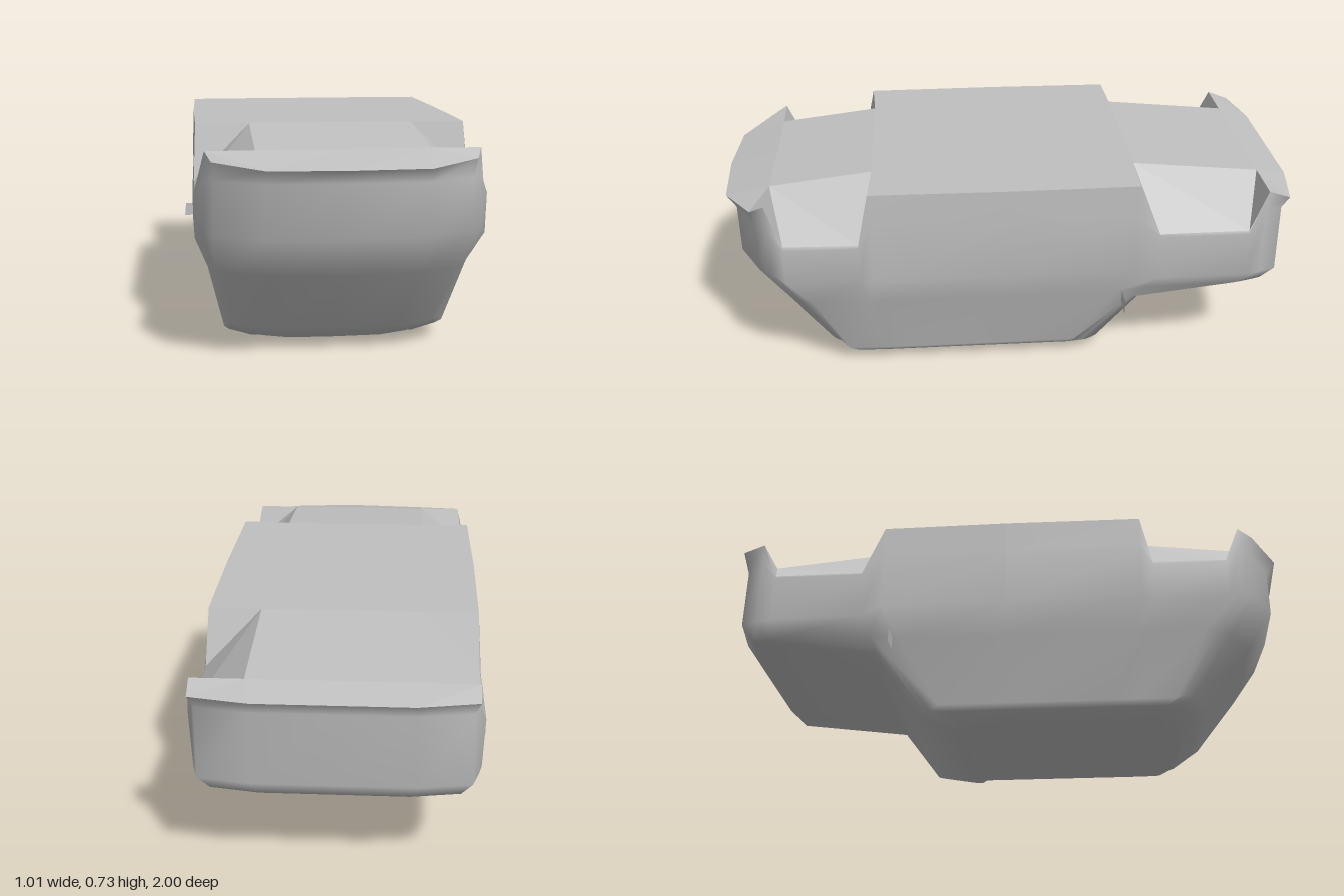
import * as THREE from 'three';

const paint = new THREE.MeshStandardMaterial({ color: 0xc0c0c0, side: THREE.DoubleSide });
paint.name = 'grey paint';

// Sill outline of one half, nose to tail; it dips to y 0.55 at the wheel cutouts
const rim = [
  [0, 0.65, 0.995], [0.25, 0.65, 0.98], [0.41, 0.665, 0.88], [0.43, 0.692, 0.83],
  [0.457, 0.55, 0.775], [0.463, 0.55, 0.52], [0.455, 0.735, 0.48], [0.46, 0.735, 0],
  [0.455, 0.735, -0.44], [0.463, 0.55, -0.515], [0.46, 0.55, -0.83], [0.445, 0.692, -0.89],
  [0.44, 0.665, -0.965], [0.25, 0.665, -1], [0, 0.665, -1],
];

// Half of a body ring: rounded end at zf, five side points, rounded end at zr
function ring(w, wr, zf, cf, side, zr, cr, yf, ys, yr) {
  return [
    [0, yf, zf], [w * 0.55, yf, zf - cf * 0.06], [w * 0.87, yf, zf - cf * 0.5],
    [w * 0.94, yf, zf - cf * 0.75], [w * 0.99, ys, zf - cf],
    ...side.map((z, i) => (i < 4 ? [w, ys, z] : [wr, yr, z])),
    [wr * 0.99, yr, zr + cr], [wr * 0.96, yr, zr + cr * 0.6], [wr * 0.92, yr, zr + cr * 0.2],
    [wr * 0.55, yr, zr], [0, yr, zr],
  ];
}

// Outer shell lofted through the rings, smooth all over
function bodyShell() {
  const lower = [0.52, 0.48, 0, -0.44, -0.515];
  const underLip = ring(0.462, 0.462, 0.958, 0.18, lower, -0.972, 0.14, 0.605, 0.62, 0.62);
  for (const i of [4, 5, 9, 10]) underLip[i] = [0.467, 0.54, rim[i][2]];
  const roof = ring(0.28, 0.28, 0.61, 0.08, [0.43, 0.32, 0, -0.13, -0.15], -0.2, 0.03, 0.025, 0.015, 0.004);
  const rings = [
    rim,
    underLip,
    ring(0.467, 0.465, 0.957, 0.18, lower, -0.975, 0.14, 0.435, 0.41, 0.375),
    ring(0.428, 0.43, 0.865, 0.17, [0.5, 0.45, 0, -0.38, -0.48], -0.935, 0.13, 0.3, 0.3, 0.318),
    // Windscreen base at the tail end, roof shoulder elsewhere
    ring(0.375, 0.41, 0.7, 0.12, [0.45, 0.35, 0, -0.24, -0.44], -0.49, 0.03, 0.085, 0.065, 0.265),
    ring(0.36, 0.36, 0.66, 0.11, [0.44, 0.33, 0, -0.22, -0.27], -0.34, 0.05, 0.055, 0.045, 0.05),
    roof,
    roof.map(([, y, z]) => [0, y, z]),
  ];
  const pos = [], index = [], n = 28;
  for (const half of rings) {
    const mirrored = half.slice(1, 14).reverse().map(([x, y, z]) => [-x, y, z]);
    pos.push(...[...half, ...mirrored].flat());
  }
  for (let r = 0; r < rings.length - 1; r++) {
    for (let i = 0; i < n; i++) {
      const j = (i + 1) % n;
      const a = r * n + i, b = r * n + j, c = a + n, d = b + n;
      index.push(a, c, b, b, c, d);
    }
  }
  const g = new THREE.BufferGeometry();
  g.setAttribute('position', new THREE.Float32BufferAttribute(pos, 3));
  g.setIndex(index);
  g.computeVertexNormals();
  return g;
}

// Flat faces from polygons on the +x side, mirrored to -x
function mirroredFaces(polygons) {
  const pos = [];
  for (const p of polygons) {
    const m = p.map(([x, y, z]) => [-x, y, z]).reverse();
    for (const q of [p, m]) {
      for (let i = 1; i < q.length - 1; i++) pos.push(...q[0], ...q[i], ...q[i + 1]);
    }
  }
  const g = new THREE.BufferGeometry();
  g.setAttribute('position', new THREE.Float32BufferAttribute(pos, 3));
  g.computeVertexNormals();
  return g;
}

export function createModel() {
  const model = new THREE.Group();
  model.name = 'carBody';
  const add = (name, geometry) => {
    const mesh = new THREE.Mesh(geometry, paint);
    mesh.name = name;
    model.add(mesh);
    return mesh;
  };

  add('bodyShell', bodyShell());

  // Floor with its inner corners beside the wheel cutouts
  const a = [[0.275, 0.692, 0.825], [0.275, 0.735, 0.47], [0.275, 0.735, -0.445], [0.275, 0.692, -0.89]];
  const c = a.map(([, y, z]) => [0, y, z]);
  add('floor', mirroredFaces([
    [rim[0], rim[1], a[0], c[0]],
    [c[0], a[0], a[1], c[1]],
    [c[1], a[1], a[2], c[2]],
    [c[2], a[2], a[3], c[3]],
    [c[3], a[3], rim[13], rim[14]],
    [a[0], rim[1], rim[2], rim[3]],
    [a[1], rim[6], rim[7], rim[8], a[2]],
    [a[3], rim[11], rim[12], rim[13]],
  ]));

  // Sloped wheel cutouts with triangular end walls
  const arches = [];
  for (const [i, k] of [[3, 0], [8, 2]]) {
    arches.push(
      [a[k], rim[i], rim[i + 1]],
      [a[k], rim[i + 1], rim[i + 2], a[k + 1]],
      [a[k + 1], rim[i + 2], rim[i + 3]],
    );
  }
  add('wheelCutouts', mirroredFaces(arches));

  // Side mirrors
  const outline = [[0.43, 0.305], [0.43, 0.258], [0.505, 0.253], [0.5, 0.305]];
  const plate = new THREE.ShapeGeometry(new THREE.Shape(outline.map((p) => new THREE.Vector2(...p))));
  for (const s of [1, -1]) {
    const mirror = add(s > 0 ? 'leftMirror' : 'rightMirror', plate);
    mirror.scale.x = s;
    mirror.position.z = -0.4;
  }
  return model;
}
